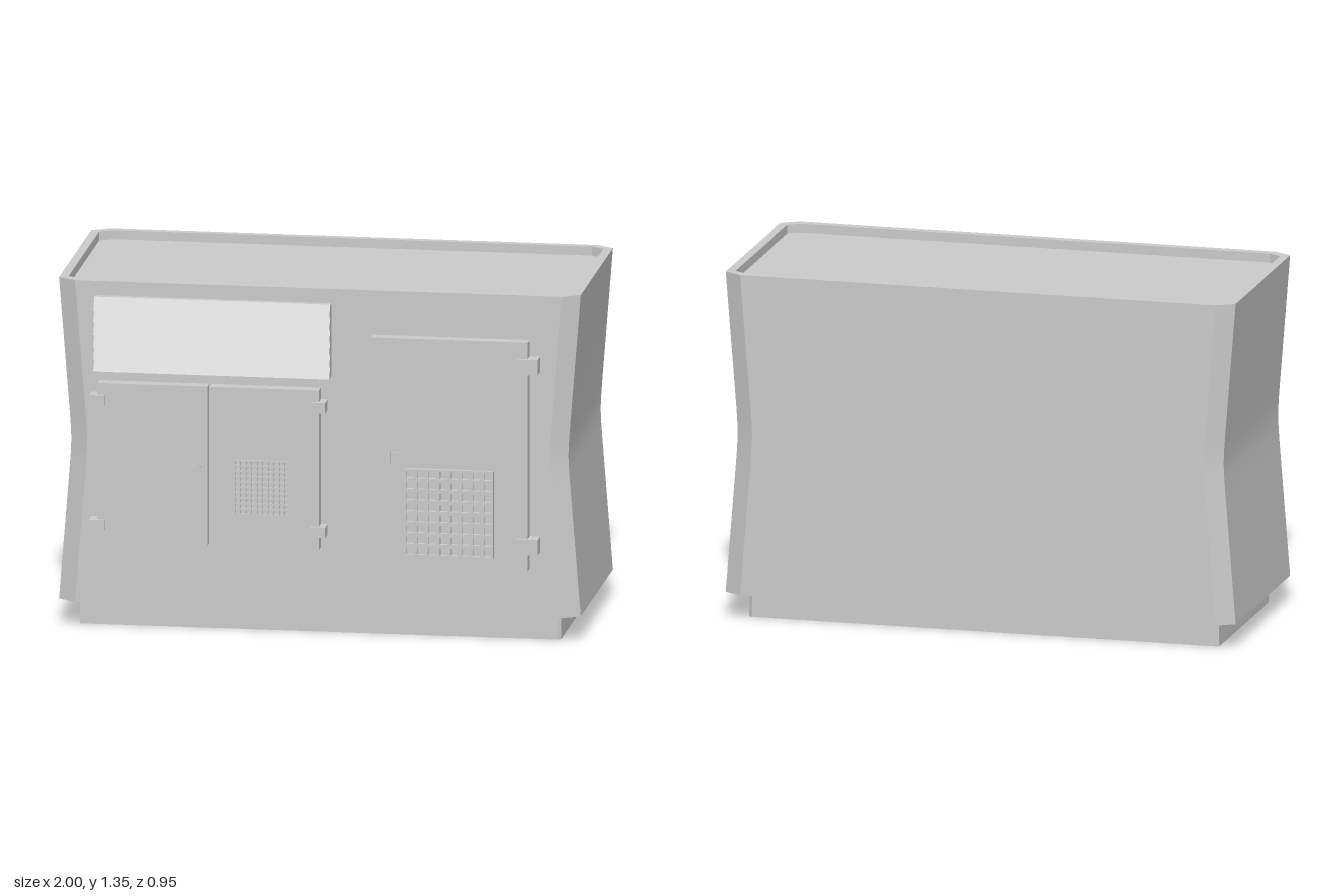
import * as THREE from 'three';
import { toCreasedNormals } from 'three/addons/utils/BufferGeometryUtils.js';

const material = new THREE.MeshStandardMaterial({ color: 0xcccccc });
const FRONT = 0.41;

function add(parent, name, geometry) {
  const mesh = new THREE.Mesh(geometry, material);
  mesh.name = name;
  parent.add(mesh);
  return mesh;
}

// Box given by its limits on each axis
function block(parent, name, x0, x1, y0, y1, z0, z1) {
  const g = new THREE.BoxGeometry(x1 - x0, y1 - y0, z1 - z0);
  g.translate((x0 + x1) / 2, (y0 + y1) / 2, (z0 + z1) / 2);
  return add(parent, name, g);
}

// Chamfered rectangle at height y
function ring(y, w, zb, zf, cx, cz) {
  return [
    [w - cx, zf], [w, zf - cz], [w, zb + cz], [w - cx, zb],
    [cx - w, zb], [-w, zb + cz], [-w, zf - cz], [cx - w, zf],
  ].map(([x, z]) => new THREE.Vector3(x, y, z));
}

// Skin over a stack of rings, closed by a flat fan at each end
function loft(rings) {
  const pts = [];
  const n = rings[0].length;
  const last = rings[rings.length - 1];
  const first = rings[0];
  const c0 = new THREE.Vector3(0, first[0].y, 0);
  const c1 = new THREE.Vector3(0, last[0].y, 0);
  for (let j = 0; j < n; j++) {
    const k = (j + 1) % n;
    pts.push(c0, first[k], first[j], c1, last[j], last[k]);
    for (let i = 0; i < rings.length - 1; i++) {
      const a = rings[i], b = rings[i + 1];
      pts.push(a[j], a[k], b[k], a[j], b[k], b[j]);
    }
  }
  return toCreasedNormals(new THREE.BufferGeometry().setFromPoints(pts), 0.3);
}

// Plate pierced by a grid of square holes
function grille(parent, name, x0, x1, y0, y1, z0, z1, count, fill) {
  const rect = (Type, a, b, c, d) =>
    new Type([[a, c], [b, c], [b, d], [a, d]].map(([x, y]) => new THREE.Vector2(x, y)));
  const shape = rect(THREE.Shape, x0, x1, y0, y1);
  const dx = (x1 - x0) / count, dy = (y1 - y0) / count;
  for (let i = 0; i < count; i++) {
    for (let j = 0; j < count; j++) {
      const cx = x0 + (i + 0.5) * dx, cy = y0 + (j + 0.5) * dy;
      const hx = dx * fill / 2, hy = dy * fill / 2;
      shape.holes.push(rect(THREE.Path, cx - hx, cx + hx, cy - hy, cy + hy));
    }
  }
  const g = new THREE.ExtrudeGeometry(shape, { depth: z1 - z0, bevelEnabled: false });
  g.translate(0, 0, z0);
  return add(parent, name, g);
}

export function createModel() {
  const model = new THREE.Group();

  // Plinth, with its two right corners trimmed
  const foot = new THREE.Shape([
    [-0.925, -0.34], [0.907, -0.34], [0.92, -0.33], [0.92, 0.388], [0.907, 0.398], [-0.925, 0.398],
  ].map(([x, y]) => new THREE.Vector2(x, y)));
  const plinth = new THREE.ExtrudeGeometry(foot, { depth: 0.1, bevelEnabled: false });
  plinth.rotateX(-Math.PI / 2);
  add(model, 'plinth', plinth);

  // Waisted housing with a raised rim around a sunken roof
  const sections = [
    [0.1, 1], [0.62, 0.959], [0.67, 0.9555], [0.725, 0.953],
    [0.78, 0.9555], [0.83, 0.959], [1.35, 1],
  ].map(([y, w]) => ring(y, w, -0.475, FRONT, 0.067, 0.042));
  sections.push(ring(1.35, 0.967, -0.445, 0.375, 0.048, 0.03));
  sections.push(ring(1.315, 0.967, -0.445, 0.375, 0.048, 0.03));
  add(model, 'housing', loft(sections));

  // Louvred vent: sawtooth section run along x
  const slats = 6, top = 1.295, pitch = 0.0475;
  const profile = [new THREE.Vector2(FRONT - 0.01, top)];
  for (let i = 0; i < slats; i++) {
    profile.push(new THREE.Vector2(0.437, top - i * pitch));
    profile.push(new THREE.Vector2(0.466, top - (i + 1) * pitch));
  }
  profile.push(new THREE.Vector2(FRONT - 0.01, top - slats * pitch));
  const vent = new THREE.ExtrudeGeometry(new THREE.Shape(profile), { depth: 0.905, bevelEnabled: false });
  vent.rotateY(-Math.PI / 2).translate(0.05, 0, 0);
  add(model, 'louvredVent', vent);

  // Double door with hinges, latches and a fine grille
  const pair = new THREE.Group();
  pair.name = 'doubleDoor';
  model.add(pair);
  block(pair, 'outerDoor', -0.84, -0.418, 0.345, 0.965, FRONT, 0.46);
  block(pair, 'innerDoor', -0.412, 0.01, 0.345, 0.965, FRONT, 0.46);
  for (const x of [-0.87, -0.022]) {
    for (const y of [0.395, 0.88]) block(pair, 'hinge', x, x + 0.058, y, y + 0.04, FRONT, 0.475);
  }
  block(pair, 'latch', -0.385, -0.35, 0.64, 0.67, 0.46, 0.463);
  block(pair, 'latchPin', -0.357, -0.351, 0.64, 0.67, 0.46, 0.466);
  block(pair, 'outerLatch', -0.49, -0.445, 0.65, 0.656, 0.46, 0.463);
  grille(pair, 'fineGrille', -0.313, -0.102, 0.475, 0.685, 0.46, 0.469, 10, 0.7);

  // Tall single door with hinges, latch and a coarse grille
  const tall = new THREE.Group();
  tall.name = 'singleDoor';
  model.add(tall);
  block(tall, 'door', 0.21, 0.81, 0.29, 1.178, FRONT, 0.458);
  for (const y of [0.355, 1.055]) block(tall, 'hinge', 0.765, 0.85, y, y + 0.06, FRONT, 0.475);
  for (const x of [0.25, 0.29]) block(tall, 'latch', x, x + 0.035, 0.69, 0.735, 0.458, 0.462);
  grille(tall, 'coarseGrille', 0.34, 0.68, 0.335, 0.675, 0.458, 0.475, 8, 0.66);

  return model;
}
